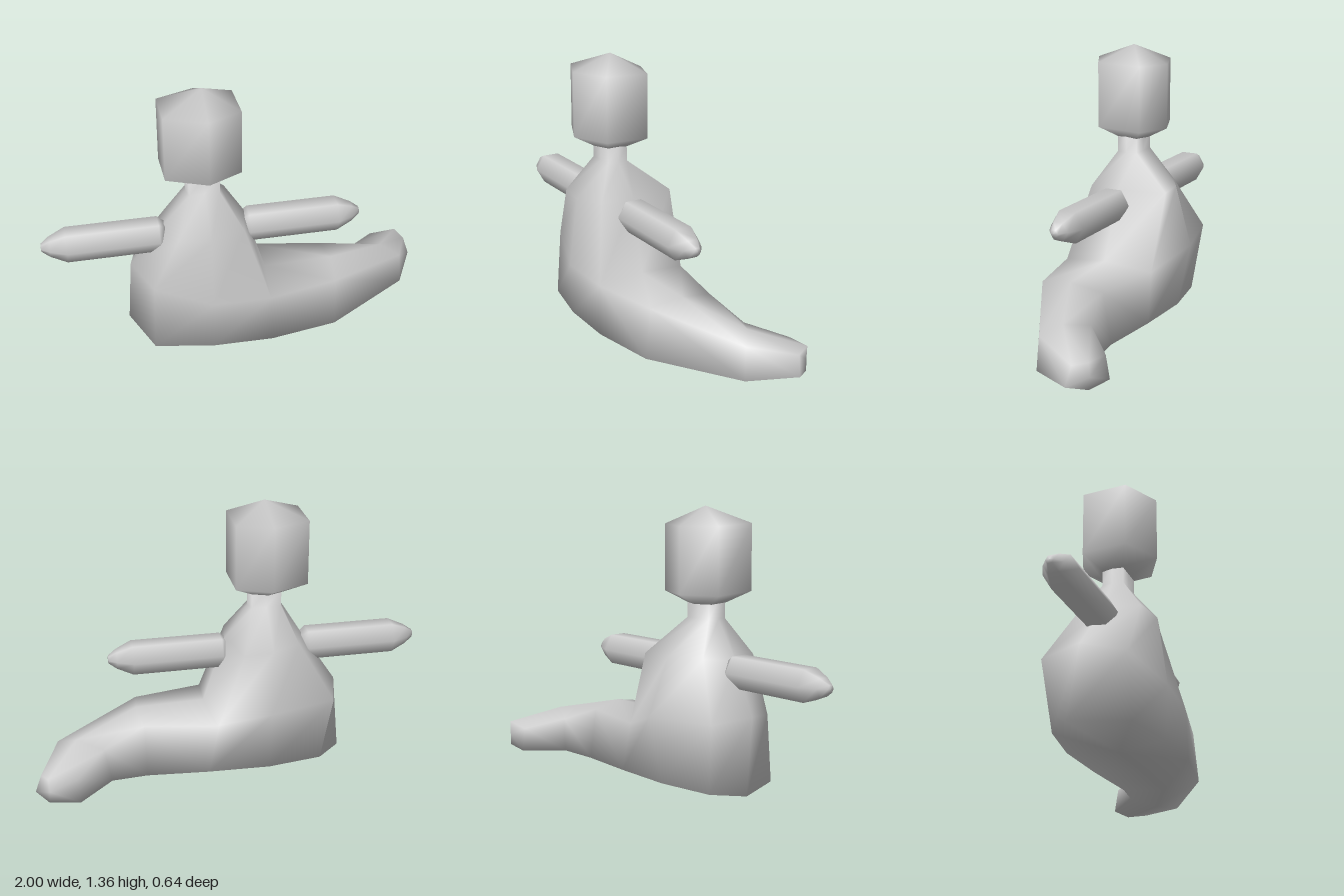
import * as THREE from 'three';
import { mergeGeometries, mergeVertices } from 'three/addons/utils/BufferGeometryUtils.js';

// Skin over loops of [x, y, z] points; tips close the ends, skip(i, j) leaves a panel open
function loft(rings, endTip, startTip, skip = () => false) {
  const n = rings[0].length, index = [];
  const points = [...rings.flat(), endTip];
  const end = points.length - 1, last = (rings.length - 1) * n;
  if (startTip) points.push(startTip);
  for (let j = 0; j < n; j++) {
    const k = (j + 1) % n;
    for (let i = 0; i < rings.length - 1; i++) {
      if (skip(i, j)) continue;
      const a = i * n + j, b = i * n + k;
      index.push(a, b, b + n, a, b + n, a + n);
    }
    index.push(end, last + j, last + k);
    if (startTip) index.push(end + 1, k, j);
  }
  const g = new THREE.BufferGeometry();
  g.setAttribute('position', new THREE.Float32BufferAttribute(points.flat(), 3));
  g.setIndex(index);
  return g;
}

// Weld pieces together and shade them as one smooth surface
function smooth(...pieces) {
  const g = mergeVertices(mergeGeometries(pieces));
  g.computeVertexNormals();
  return g;
}

// Six-sided tail section from its front edge, back edge, middle, and heights
function section([fx, fz], [bx, bz], [mx, mz], ridge, upper, lower, keel) {
  const side = (x, z, inset) => [x + (mx - x) * inset, upper, z + (mz - z) * inset];
  return [[mx, ridge, mz], side(fx, fz, 0.12), [fx, lower, fz],
    [mx, keel, mz], [bx, lower, bz], side(bx, bz, 0.2)];
}

export function createModel() {
  const group = new THREE.Group();
  const clay = new THREE.MeshStandardMaterial({ color: 0xcccccc });
  clay.name = 'grey clay';
  const cx = -0.205, cz = 0.078;

  const add = (name, geometry) => {
    const mesh = new THREE.Mesh(geometry, clay);
    mesh.name = name;
    group.add(mesh);
    return mesh;
  };

  // Head: six-sided block with a slightly tilted, pointed crown
  const headOutline = [[-0.205, 0.28], [-0.4, 0.19], [-0.4, -0.03], [-0.21, -0.105], [-0.035, -0.04], [-0.035, 0.19]];
  const headRing = (y, scale) => headOutline.map(([x, z]) =>
    [cx + (x - cx) * scale, y + 0.04 * z * scale, cz + (z - cz) * scale]);
  add('head', smooth(loft([headRing(1.275, 1), headRing(0.95, 1), headRing(0.895, 0.45)],
    [cx, 0.895, cz], [-0.2, 1.362, 0.075])));

  // Neck and torso: rings downward, front point first, then round by the right side
  const neckRing = (y) => [[0, 0.054], [-0.075, 0.054], [-0.086, 0], [-0.075, -0.054],
    [0, -0.054], [0.075, -0.054], [0.086, 0], [0.075, 0.054]].map(([x, z]) => [cx + x, y, cz + z]);
  const shoulders = [[-0.2, 0.64, 0.275], [-0.36, 0.64, 0.25], [-0.41, 0.63, 0.08], [-0.35, 0.65, -0.08],
    [-0.2, 0.655, -0.165], [-0.05, 0.655, -0.18], [0, 0.66, 0.06], [-0.03, 0.65, 0.23]];
  const waist = [[-0.2, 0.29, 0.32], [-0.48, 0.36, 0.23], [-0.57, 0.39, 0.03], [-0.51, 0.37, -0.18],
    [-0.17, 0.365, -0.265], [0.08, 0.28, -0.168], [0.11, 0.31, 0.08], [0.09, 0.28, 0.31]];
  const base = [[-0.2, 0.025, 0.31], [-0.49, 0.022, 0.25], [-0.588, 0.022, -0.02], [-0.46, 0.025, -0.14],
    [-0.18, 0.03, -0.19], [0.13, 0.03, -0.177], [0.11, 0, 0.08], [0.1, 0.025, 0.316]];
  const torso = loft([neckRing(0.91), neckRing(0.82), shoulders, waist, base],
    [-0.18, 0, 0.07], [cx, 0.91, cz], (i, j) => i === 3 && (j === 5 || j === 6));

  // Tail: grows from the open panels at the left hip to a blunt tip
  const tail = loft([
    [waist[6], waist[7], base[7], base[6], base[5], waist[5]],
    section([0.44, 0.26], [0.44, -0.14], [0.46, 0.07], 0.308, 0.28, 0.025, 0.003),
    section([0.88, 0], [0.62, -0.17], [0.78, -0.08], 0.235, 0.2, 0.035, 0.025),
    [[0.94, 0.16, -0.305], [0.97, 0.145, -0.235], [1, 0.05, -0.22],
      [0.94, 0.033, -0.305], [0.79, 0.027, -0.325], [0.8, 0.145, -0.31]],
  ], [0.935, 0.09, -0.307]);
  add('bodyWithTail', smooth(torso, tail));

  // Arms: tapered six-sided rods pointing straight out
  const armProfile = [[0, 0.19], [0.06, 0.19], [0.087, 0.225], [0.087, 0.675],
    [0.05, 0.755], [0.02, 0.795], [0, 0.797]];
  const armGeometry = new THREE.LatheGeometry(armProfile.map(([r, y]) => new THREE.Vector2(r, y)), 6);
  for (const [name, side] of [['leftArm', 1], ['rightArm', -1]]) {
    const arm = add(name, armGeometry);
    arm.position.set(cx, 0.585, 0.076);
    arm.rotation.z = -side * Math.PI / 2;
  }
  return group;
}
